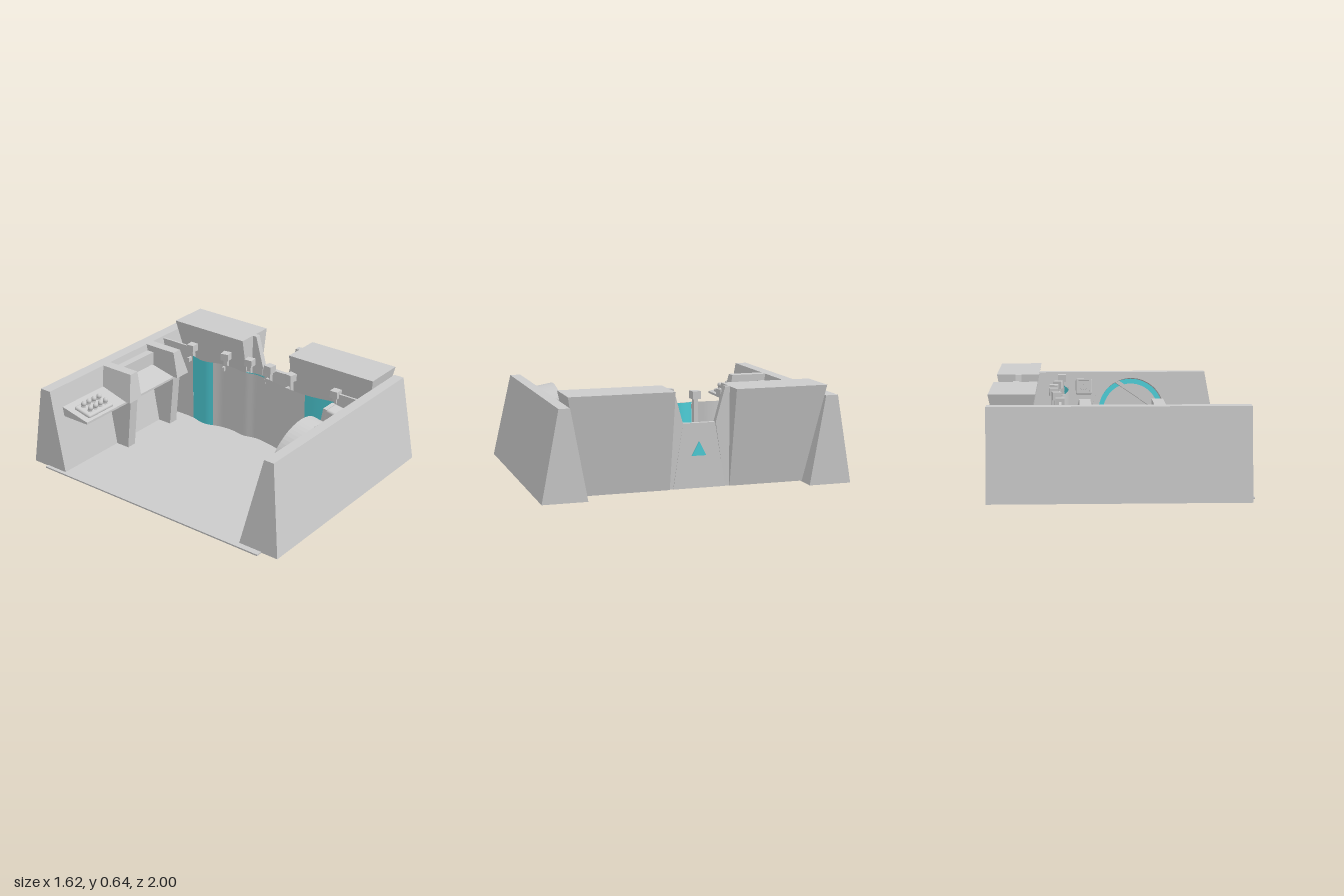
import * as THREE from 'three';
import { RoundedBoxGeometry } from 'three/addons/geometries/RoundedBoxGeometry.js';

const grey = new THREE.MeshStandardMaterial({ color: 0xcccccc });
const greySheet = new THREE.MeshStandardMaterial({ color: 0xcccccc, side: THREE.DoubleSide });
const teal = new THREE.MeshStandardMaterial({ color: 0x4fd0da, side: THREE.DoubleSide });

export function createModel() {
  const model = new THREE.Group();
  model.name = 'room';

  function add(name, geometry, parent = model, material = grey) {
    const mesh = new THREE.Mesh(geometry, material);
    mesh.name = name;
    parent.add(mesh);
    return mesh;
  }
  // Box given by its limits
  function box(name, x0, x1, y0, y1, z0, z1, parent, material) {
    const m = add(name, new THREE.BoxGeometry(x1 - x0, y1 - y0, z1 - z0), parent, material);
    m.position.set((x0 + x1) / 2, (y0 + y1) / 2, (z0 + z1) / 2);
    return m;
  }
  // Box whose bottom and top rectangles [x0, x1, z0, z1] differ
  function taper(name, y0, y1, bottom, top) {
    const g = new THREE.BoxGeometry(1, 1, 1);
    const p = g.attributes.position;
    for (let i = 0; i < p.count; i++) {
      const r = p.getY(i) < 0 ? bottom : top;
      p.setXYZ(i, p.getX(i) < 0 ? r[0] : r[1], p.getY(i) < 0 ? y0 : y1, p.getZ(i) < 0 ? r[2] : r[3]);
    }
    g.computeVertexNormals();
    return add(name, g);
  }
  // Side profile of [z, y] points, extruded from x0 to x1
  function slab(name, points, x0, x1, material) {
    const shape = new THREE.Shape(points.map(([z, y]) => new THREE.Vector2(-z, y)));
    const g = new THREE.ExtrudeGeometry(shape, { depth: x1 - x0, bevelEnabled: false });
    g.rotateY(Math.PI / 2);
    g.translate(x0, 0, 0);
    return add(name, g, model, material);
  }

  // Floor and sloped walls
  box('floor', -0.81, 0.6, 0, 0.01, -0.88, 0.88);
  taper('frontWall', 0.005, 0.575, [-0.77, 0.81, 0.715, 1], [-0.67, 0.81, 0.82, 0.89]);
  taper('backWall', 0.005, 0.575, [-0.785, 0.81, -1, -0.72], [-0.785, 0.81, -0.9, -0.82]);

  // Overhanging blocks beside the gate
  taper('frontBlock', 0.01, 0.64, [0.635, 0.685, 0.165, 0.72], [0.515, 0.8, 0.165, 0.83]);
  taper('backBlock', 0.01, 0.64, [0.635, 0.685, -0.72, -0.228], [0.515, 0.8, -0.83, -0.228]);

  // Gate, its side fins and triangular panel
  taper('gate', 0.01, 0.42, [0.63, 0.68, -0.2, 0.14], [0.64, 0.67, -0.135, 0.075]);
  for (const s of [1, -1]) {
    const fin = [[0.2, 0.01], [0.17, 0.01], [0.107, 0.42], [0.168, 0.64], [0.2, 0.64]];
    slab('gateFin', fin.map(([z, y]) => [s * z - 0.03, y]), 0.635, 0.675);
  }
  slab('gateTriangle', [[0.02, 0.215], [-0.075, 0.215], [-0.028, 0.305]], 0.629, 0.681, teal);

  // Low consoles behind the blocks
  for (const s of [1, -1]) {
    const c = s * 0.575;
    box('consoleBody', 0.44, 0.62, 0.01, 0.22, c - 0.16, c + 0.16);
    box('consoleBack', 0.41, 0.44, 0.01, 0.26, c - 0.18, c + 0.18);
  }

  // Curtain: upright sheets following a wavy plan line
  const line = new THREE.CatmullRomCurve3([
    [0.36, -0.56], [0.33, -0.43], [0.365, -0.3], [0.37, -0.2], [0.355, -0.1], [0.375, 0],
    [0.36, 0.12], [0.33, 0.27], [0.32, 0.45], [0.35, 0.64],
  ].map(([x, z]) => new THREE.Vector3(x, 0, z)));
  function sheet(name, t0, t1, offset, material) {
    const g = new THREE.PlaneGeometry(1, 1, 32, 1);
    const p = g.attributes.position;
    for (let i = 0; i < p.count; i++) {
      const q = line.getPointAt(t0 + (t1 - t0) * (p.getX(i) + 0.5));
      p.setXYZ(i, q.x + offset, p.getY(i) < 0 ? 0.01 : 0.5, q.z);
    }
    g.computeVertexNormals();
    add(name, g, model, material);
  }
  sheet('curtainEndBack', 0, 0.17, 0, teal);
  sheet('curtainMiddle', 0.17, 0.83, 0, greySheet);
  sheet('curtainEndFront', 0.83, 1, 0, teal);
  sheet('curtainLining', 0.4, 0.52, 0.012, teal);

  // Curtain posts with cube heads
  const posts = [[0.37, -0.56, 0], [0.395, -0.28, 0.2], [0.415, -0.09, 0.1],
    [0.415, 0.08, -0.1], [0.39, 0.27, -0.2], [0.365, 0.645, 0]];
  for (const [x, z, turn] of posts) {
    const post = new THREE.Group();
    post.name = 'curtainPost';
    post.position.set(x, 0, z);
    post.rotation.y = turn;
    model.add(post);
    box('postHead', -0.028, 0.028, 0.53, 0.58, -0.028, 0.028, post);
    box('postStem', -0.014, 0.014, 0.01, 0.53, -0.014, 0.014, post);
    box('postClip', -0.05, 0, 0.46, 0.49, -0.008, 0.008, post);
  }
  box('backPartition', 0.36, 0.375, 0.01, 0.56, -0.82, -0.56);
  box('frontPartition', 0.36, 0.375, 0.01, 0.56, 0.645, 0.82);

  // Sloped desk on the back wall, between two buttresses
  slab('desk', [[-0.58, 0.375], [-0.58, 0.39], [-0.8, 0.44], [-0.8, 0.375]], -0.7, 0.2);
  box('deskBackPanel', -0.25, 0.2, 0.44, 0.53, -0.82, -0.76);
  for (const s of [1, -1]) {
    const cx = -0.01;
    const span = (a, b) => (s > 0 ? [cx + a, cx + b] : [cx - b, cx - a]);
    taper('buttressHead', 0.39, 0.575,
      [...span(0.19, 0.31), -0.82, -0.545], [...span(0.19, 0.26), -0.82, -0.575]);
    taper('buttressLeg', 0.01, 0.39,
      [...span(0.19, 0.26), -0.76, -0.62], [...span(0.19, 0.26), -0.8, -0.58]);
  }

  // Button pad lying on the desk
  const pad = new THREE.Group();
  pad.name = 'buttonPad';
  pad.position.set(-0.535, 0.415, -0.67);
  pad.rotation.x = 0.22;
  model.add(pad);
  add('padBase', new RoundedBoxGeometry(0.24, 0.03, 0.14, 3, 0.014), pad);
  for (let i = 0; i < 8; i++) {
    const x = ((i % 4) - 1.5) * 0.049, z = (i < 4 ? -1 : 1) * 0.03;
    add('buttonStem', new THREE.CylinderGeometry(0.012, 0.018, 0.02, 12), pad).position.set(x, 0.022, z);
    add('button', new THREE.SphereGeometry(0.018, 12, 8), pad).position.set(x, 0.038, z);
  }

  // Fittings leaning on the inner face of the front wall; local +z points into the room
  function fitting(name, x, y, z) {
    const g = new THREE.Group();
    g.name = name;
    g.position.set(x, y, z);
    g.rotation.set(0.175, Math.PI, 0);
    model.add(g);
    return g;
  }
  function ringGeometry(outer, inner, depth) {
    const shape = new THREE.Shape().absarc(0, 0, outer, 0, Math.PI * 2);
    shape.holes.push(new THREE.Path().absarc(0, 0, inner, 0, Math.PI * 2, true));
    return new THREE.ExtrudeGeometry(shape, { depth, bevelEnabled: false, curveSegments: 32 });
  }

  // Round window with a Z of bars over a coloured pane
  const win = fitting('roundWindow', -0.13, 0.295, 0.765);
  add('windowRing', ringGeometry(0.28, 0.235, 0.105), win);
  add('windowPane', new THREE.CircleGeometry(0.237, 48), win, teal).position.z = 0.008;
  add('windowBacking', new THREE.CircleGeometry(0.2, 48), win).position.z = 0.012;
  for (const [x, y, length, turn] of [[0, 0.018, 0.47, 0.06], [0, -0.018, 0.47, 0.06],
    [0.04, 0.115, 0.37, -0.6], [-0.04, -0.115, 0.37, -0.6]]) {
    const bar = add('windowBar', new THREE.BoxGeometry(length, 0.026, 0.05), win);
    bar.position.set(x, y, 0.065);
    bar.rotation.z = turn;
  }

  // Small wall box with a raised frame and round knob
  const unit = fitting('wallBox', 0.21, 0.47, 0.795);
  add('wallBoxBody', new RoundedBoxGeometry(0.115, 0.115, 0.1, 3, 0.015), unit).position.z = 0.05;
  for (const s of [-1, 1]) {
    box('wallBoxFrame', -0.052, 0.052, s * 0.046 - 0.007, s * 0.046 + 0.007, 0.09, 0.12, unit);
    box('wallBoxFrame', s * 0.046 - 0.007, s * 0.046 + 0.007, -0.052, 0.052, 0.09, 0.12, unit);
  }
  add('wallBoxKnob', ringGeometry(0.026, 0.014, 0.02), unit).position.z = 0.095;

  return model;
}
